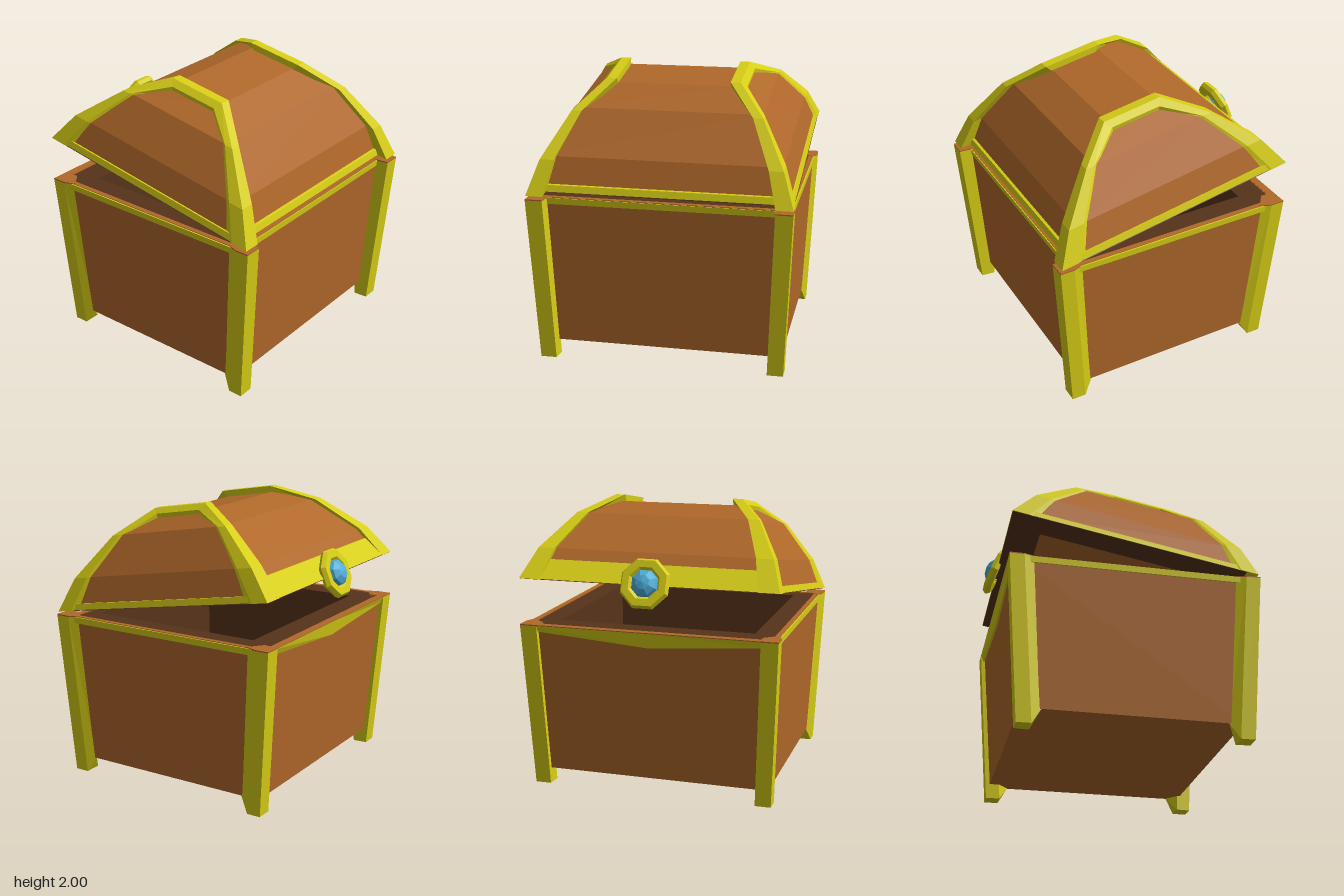
import * as THREE from 'three';

const material = (color) =>
  new THREE.MeshStandardMaterial({ color, flatShading: true, side: THREE.DoubleSide });
const GOLD = material(0xd6cd16);
const WOOD = material(0xb0682a);
const DARK_WOOD = material(0x57331a);
const GEM = material(0x4fb0dc);

// Skins a list of closed cross-sections, with optional end caps; faces are turned outward.
function loft(name, sections, mat, caps = true) {
  const tris = [];
  const n = sections[0].length;
  for (let i = 0; i < sections.length - 1; i++) {
    for (let j = 0; j < n; j++) {
      const k = (j + 1) % n;
      const [a, b] = [sections[i], sections[i + 1]];
      tris.push([a[j], a[k], b[k]], [a[j], b[k], b[j]]);
    }
  }
  if (caps) {
    const first = sections[0], last = sections[sections.length - 1];
    for (let j = 1; j < n - 1; j++) {
      tris.push([first[0], first[j + 1], first[j]], [last[0], last[j], last[j + 1]]);
    }
  }
  const v = (p) => new THREE.Vector3(...p);
  const volume = tris.reduce((sum, [a, b, c]) => sum + v(a).dot(v(b).cross(v(c))), 0);
  if (volume < 0) tris.forEach((t) => t.reverse());
  const geometry = new THREE.BufferGeometry();
  geometry.setAttribute('position', new THREE.Float32BufferAttribute(tris.flat(2), 3));
  geometry.computeVertexNormals();
  const mesh = new THREE.Mesh(geometry, mat);
  mesh.name = name;
  return mesh;
}

// Rectangle around the chest, and a bar along x between two copies of a (y, z) section
const rect = (x, y, front, back) =>
  [[x, y, front], [x, y, back], [-x, y, back], [-x, y, front]];
const bar = (halfLength, points) =>
  [-halfLength, halfLength].map((x) => points.map(([y, z]) => [x, y, z]));

function buildBase() {
  const base = new THREE.Group();
  base.name = 'base';

  // Outer walls with a narrow top edge, closed by the floor
  base.add(loft('baseWalls', [
    rect(0.85, 1.17, 0.78, -0.77),
    rect(0.85, 1.178, 0.78, -0.77),
    rect(0.885, 1.178, 0.82, -0.80),
    rect(0.835, 0.11, 0.755, -0.72),
  ], WOOD, false));
  base.add(loft('baseFloor', [
    rect(0.83, 0.115, 0.75, -0.715), rect(0.835, 0.11, 0.755, -0.72),
  ], WOOD));

  // Wide ledge and cavity
  base.add(loft('baseInside', [
    rect(0.68, 0.25, 0.66, -0.57),
    rect(0.70, 1.17, 0.69, -0.59),
    rect(0.85, 1.17, 0.78, -0.77),
    rect(0.82, 0.13, 0.74, -0.70),
  ], DARK_WOOD));

  // Band under the opening
  base.add(loft('baseRim', [
    rect(0.86, 1.13, 0.80, -0.78),
    rect(0.893, 1.13, 0.823, -0.80),
    rect(0.895, 1.174, 0.827, -0.81),
    rect(0.86, 1.174, 0.80, -0.78),
    rect(0.86, 1.13, 0.80, -0.78),
  ], GOLD, false));

  // Back band, deeper in the middle, with a wooden strip on top
  base.add(loft('backBand', [[-0.8, 1.13], [0, 1.07], [0.8, 1.13]].map(([x, low]) =>
    [[x, 1.174, -0.828], [x, 1.174, -0.78], [x, low, -0.78], [x, low, -0.808]]), GOLD));
  base.add(loft('backStrip', bar(0.8,
    [[1.174, -0.828], [1.18, -0.828], [1.18, -0.775], [1.174, -0.775]]), WOOD));

  // Corner posts with a bevelled side and a wooden cap
  for (const sx of [1, -1]) {
    for (const sz of [1, -1]) {
      const section = (x, y, half, w, inset, t, yInner = y) => [
        [x, y, half - 0.1], [x, y, half], [x - w, y, half],
        [x - w - 0.008, y, half - 0.1], [x - inset, yInner, half - t],
      ].map(([px, py, pz]) => [sx * px, py, 0.042 + sz * pz]);
      const foot = section(0.86, 0, 0.786, 0.112, 0.03, 0.165, 0.11);
      const head = section(0.91, 1.172, 0.87, 0.12, 0.03, 0.18);
      const top = head.map(([x, , z]) => [x, 1.18, z]);
      base.add(loft('cornerPost', [foot, head], GOLD));
      base.add(loft('postCap', [head, top], WOOD));
    }
  }
  return base;
}

function buildLid() {
  const lid = new THREE.Group();
  lid.name = 'lid';

  // Vaulted outside
  lid.add(loft('lidShell', [
    rect(0.893, 0.002, 0.775, -0.845),
    rect(0.82, 0.217, 0.675, -0.71),
    rect(0.65, 0.476, 0.415, -0.435),
    rect(0.47, 0.577, 0.17, -0.21),
  ], WOOD));

  // Underside: flat border around a vaulted hollow
  lid.add(loft('lidInside', [
    rect(0.34, 0.50, 0.10, -0.12),
    rect(0.50, 0.40, 0.32, -0.34),
    rect(0.64, 0.19, 0.55, -0.56),
    rect(0.70, -0.002, 0.66, -0.65),
    rect(0.905, -0.002, 0.79, -0.87),
    rect(0.88, 0.02, 0.77, -0.83),
  ], DARK_WOOD, false));
  lid.add(loft('lidCeiling', [
    rect(0.34, 0.50, 0.10, -0.12), rect(0.34, 0.51, 0.10, -0.12),
  ], DARK_WOOD));

  // Edge band along the front and sides
  lid.add(loft('lidRim', [
    rect(0.86, 0.003, 0.75, -0.82),
    rect(0.903, 0.003, 0.795, -0.85),
    rect(0.89, 0.045, 0.775, -0.83),
    rect(0.85, 0.045, 0.74, -0.80),
    rect(0.86, 0.003, 0.75, -0.82),
  ], GOLD, false));

  // Broad band across the back
  lid.add(loft('lidBackBand', bar(0.78,
    [[0.003, -0.873], [0.14, -0.77], [0.14, -0.74], [0.003, -0.82]]), GOLD));

  // Arched hip beams: height, half width, half depth, face widths, side width, bevel end
  const rings = [
    { h: 0, x: 0.91, z: 0.873, wf: 0.12, wb: 0.15, s: 0.12, t: 0.185 },
    { h: 0.217, x: 0.83, z: 0.74, wf: 0.10, wb: 0.12, s: 0.11, t: 0.165 },
    { h: 0.476, x: 0.66, z: 0.475, wf: 0.07, wb: 0.08, s: 0.06, t: 0.105 },
  ];
  for (const sx of [1, -1]) {
    const side = (r, sz) => {
      const w = sz > 0 ? r.wf : r.wb;
      return [
        [r.x, r.h, r.z - r.s], [r.x, r.h, r.z], [r.x - w, r.h, r.z],
        [r.x - w, r.h, r.z - 0.09], [r.x - 0.02, r.h, r.z - r.t],
      ].map(([x, y, z]) => [sx * x, y, sz * z]);
    };
    const ridge = (sz) => [
      [0.51, 0.585, 0.18], [0.47, 0.623, 0.213], [0.40, 0.623, 0.213],
      [0.40, 0.56, 0.165], [0.505, 0.55, 0.175],
    ].map(([x, y, z]) => [sx * x, y, sz * z]);
    lid.add(loft('hipBeam', [
      ...rings.map((r) => side(r, 1)), ridge(1), ridge(-1),
      ...rings.slice().reverse().map((r) => side(r, -1)),
    ], GOLD));
  }

  lid.position.set(0, 1.35, 0.04);
  lid.rotation.x = 0.173;
  return lid;
}

// Jewelled ring at the back edge of the lid
function buildClasp() {
  const clasp = new THREE.Group();
  clasp.name = 'clasp';
  const profile = [[0.09, -0.028], [0.165, -0.028], [0.182, 0], [0.165, 0.028], [0.115, 0.028], [0.09, 0], [0.09, -0.028]]
    .map(([x, y]) => new THREE.Vector2(x, y));
  const ring = new THREE.Mesh(new THREE.LatheGeometry(profile, 8, Math.PI / 8), GOLD);
  ring.name = 'claspRing';
  const gem = new THREE.Mesh(
    new THREE.SphereGeometry(0.1, 8, 3, 0, Math.PI * 2, 0, Math.PI / 2), GEM);
  gem.name = 'gem';
  gem.scale.y = 0.75;
  gem.rotation.y = Math.PI / 8;
  clasp.add(ring, gem);
  clasp.position.set(0, 1.515, -0.825);
  clasp.rotation.x = -1.19;
  return clasp;
}

export function createModel() {
  const model = new THREE.Group();
  model.name = 'chest';
  model.add(buildBase(), buildLid(), buildClasp());
  return model;
}
